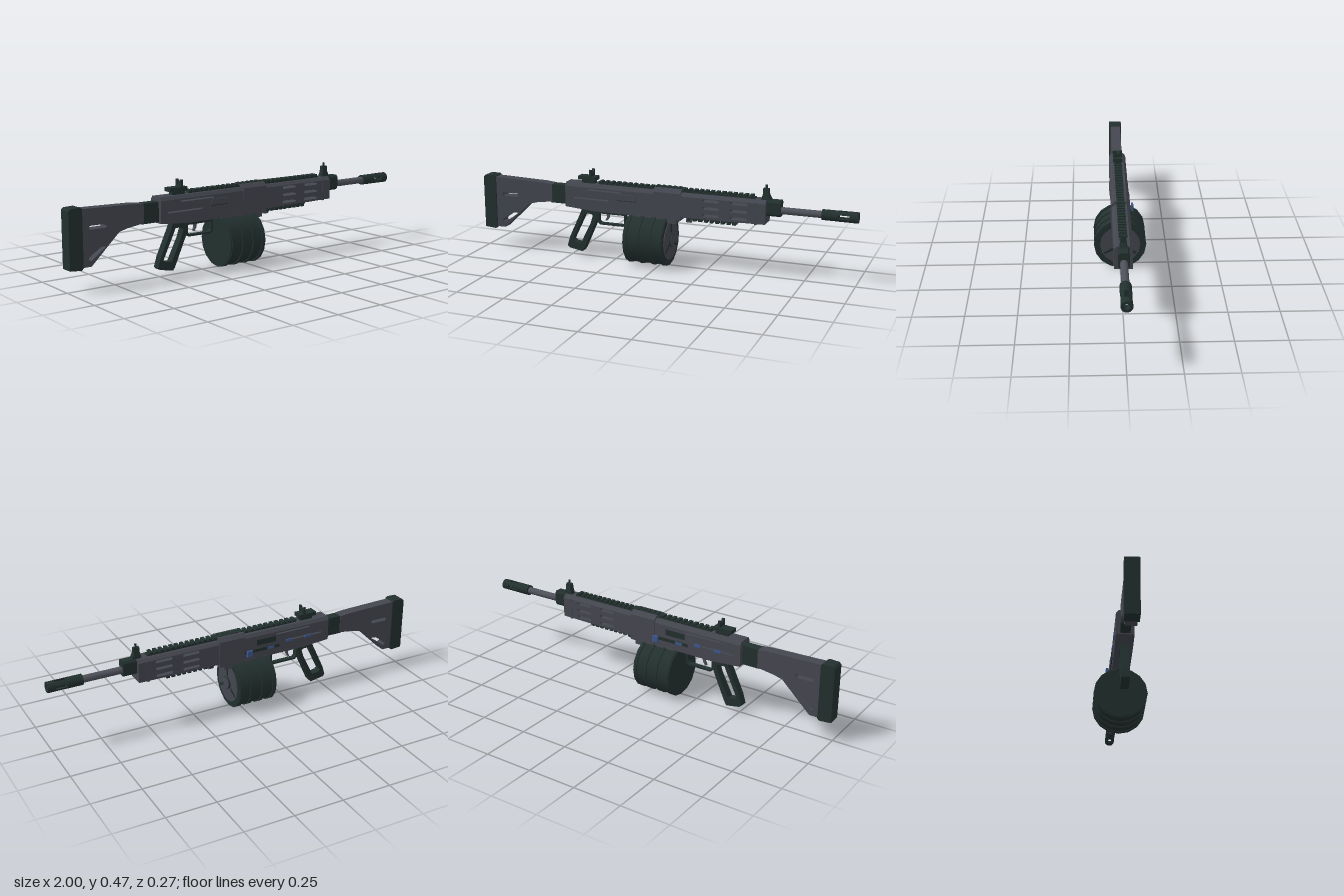
import * as THREE from 'three';

const mat = (name, color) => {
  const m = new THREE.MeshStandardMaterial({ color });
  m.name = name;
  return m;
};

export function createModel() {
  const grey = mat('gunmetal grey', 0x44464f);
  const dark = mat('dark green black', 0x22302e);
  const steel = mat('barrel steel', 0x4f515a);
  const blue = mat('blue controls', 0x3c568c);
  const root = new THREE.Group();
  root.name = 'rifle';

  const add = (name, geo, material, parent = root) => {
    const m = new THREE.Mesh(geo, material);
    m.name = name;
    parent.add(m);
    return m;
  };
  const group = (name) => {
    const g = new THREE.Group();
    g.name = name;
    root.add(g);
    return g;
  };
  // box from x, y, z ranges
  const box = (name, [x0, x1], [y0, y1], [z0, z1], material, parent) => add(name,
    new THREE.BoxGeometry(x1 - x0, y1 - y0, z1 - z0)
      .translate((x0 + x1) / 2, (y0 + y1) / 2, (z0 + z1) / 2), material, parent);
  // cylinder along x
  const rod = (name, x0, x1, y, r, sides, material, parent, open = false) => add(name,
    new THREE.CylinderGeometry(r, r, x1 - x0, sides, 1, open).rotateZ(-Math.PI / 2)
      .translate((x0 + x1) / 2, y, 0), material, parent);
  const toShape = (pts) => new THREE.Shape(pts.map(([x, y]) => new THREE.Vector2(x, y)));
  // side profile extruded to half width h, with through holes
  const slab = (name, pts, holes, h, material, parent) => {
    const s = toShape(pts);
    holes.forEach((p) => s.holes.push(new THREE.Path(p.map(([x, y]) => new THREE.Vector2(x, y)))));
    return add(name, new THREE.ExtrudeGeometry(s, { depth: 2 * h, bevelEnabled: false })
      .translate(0, 0, -h), material, parent);
  };
  // (z, y) cross-section extruded along x
  const prism = (name, pts, x0, x1, material, parent) => add(name,
    new THREE.ExtrudeGeometry(toShape(pts.map(([z, y]) => [-z, y])), { depth: x1 - x0, bevelEnabled: false })
      .rotateY(Math.PI / 2).translate(x0, 0, 0), material, parent);
  const rect = (x0, x1, y0, y1) => [[x0, y0], [x1, y0], [x1, y1], [x0, y1]];
  const slot = (x0, x1, y, h) => {
    const e = h * 0.6;
    return [[x0, y], [x0 + e, y - h], [x1 - e, y - h], [x1, y], [x1 - e, y + h], [x0 + e, y + h]];
  };
  const cap = (w0, y0, w1, y1) => [[-w0, y0], [w0, y0], [w1, y1], [-w1, y1]];

  // Stock with slots, butt pad and connecting neck
  const stock = group('stock');
  slab('stockBody',
    [[-0.94, 0.115], [-0.885, 0.115], [-0.735, 0.258], [-0.69, 0.27], [-0.6, 0.283], [-0.6, 0.375], [-0.65, 0.38], [-0.94, 0.388]],
    [slot(-0.895, -0.8, 0.297, 0.009), [[-0.9, 0.147], [-0.885, 0.142], [-0.81, 0.195], [-0.81, 0.203], [-0.835, 0.2], [-0.895, 0.16]]],
    0.027, grey, stock);
  slab('buttPad', [[-1, 0.11], [-0.94, 0.105], [-0.93, 0.115], [-0.93, 0.39], [-0.94, 0.397], [-0.99, 0.395], [-1, 0.385]],
    [], 0.034, dark, stock);
  box('stockNeck', [-0.61, -0.51], [0.277, 0.375], [-0.024, 0.024], dark, stock);

  // Receiver with thin slits and chamfered top
  const receiver = group('receiver');
  slab('receiverBody', [[-0.515, 0.27], [-0.36, 0.258], [0.095, 0.258], [0.095, 0.38], [-0.515, 0.38]],
    [rect(-0.4, -0.205, 0.365, 0.372), rect(-0.475, -0.275, 0.317, 0.324)], 0.044, grey, receiver);
  prism('receiverTop', cap(0.044, 0.38, 0.032, 0.397), -0.515, -0.025, grey, receiver);
  prism('frontBlock', [[-0.047, 0.255], [0.047, 0.255], [0.047, 0.392], [0.03, 0.411], [-0.03, 0.411], [-0.047, 0.392]],
    -0.025, 0.12, grey, receiver);
  box('magazineWell', [-0.16, 0.095], [0.235, 0.262], [-0.045, 0.045], grey, receiver);
  box('sidePlate', [-0.225, -0.12], [0.33, 0.36], [0.043, 0.05], grey, receiver);
  box('sidePlateEdge', [-0.225, -0.12], [0.326, 0.33], [0.043, 0.048], dark, receiver);
  box('chargingSlot', [-0.22, -0.02], [0.296, 0.312], [-0.0485, -0.042], dark, receiver);
  box('ejectionPort', [-0.2, -0.09], [0.33, 0.36], [-0.047, -0.042], dark, receiver);

  // Blue controls on the back side
  const controls = group('controls');
  box('handleShaft', [-0.047, -0.033], [0.294, 0.31], [-0.06, -0.042], steel, controls);
  box('handleKnob', [-0.055, -0.025], [0.287, 0.319], [-0.069, -0.057], blue, controls);
  box('boltCatch', [-0.19, -0.15], [0.298, 0.31], [-0.052, -0.044], blue, controls);
  box('magazineRelease', [-0.295, -0.26], [0.312, 0.326], [-0.05, -0.043], blue, controls);
  box('selectorLever', [-0.41, -0.37], [0.312, 0.325], [-0.05, -0.043], blue, controls);

  // Handguard with two columns of three vents
  const guard = group('handguard');
  const vents = [];
  for (const y of [0.369, 0.331, 0.294])
    for (const x of [0.23, 0.375]) vents.push(slot(x, x + 0.09, y, 0.007));
  slab('handguardBody', [[0.12, 0.272], [0.555, 0.278], [0.555, 0.38], [0.12, 0.38]], vents, 0.044, grey, guard);
  prism('handguardTop', cap(0.044, 0.38, 0.03, 0.395), 0.12, 0.555, grey, guard);
  box('handguardBand', [0.5, 0.512], [0.274, 0.383], [-0.046, 0.046], grey, guard);
  rod('slingStud', 0.137, 0.163, 0.25, 0.013, 8, steel, guard);

  // Toothed rails
  const rail = (name, x0, x1, base, tip, w) => {
    const g = group(name);
    const mid = (base + tip) / 2;
    box('railBase', [x0, x1], [Math.min(base, mid), Math.max(base, mid)], [-w * 0.8, w * 0.8], dark, g);
    const n = Math.round((x1 - x0) / 0.03);
    const step = (x1 - x0) / n;
    for (let i = 0; i < n; i++) {
      const x = x0 + step * i;
      box('railTooth', [x, x + step * 0.6], [Math.min(mid, tip), Math.max(mid, tip)], [-w, w], dark, g);
    }
  };
  rail('rearTopRail', -0.335, -0.025, 0.394, 0.413, 0.02);
  rail('blockTopRail', -0.025, 0.12, 0.408, 0.416, 0.02);
  rail('frontTopRail', 0.12, 0.495, 0.392, 0.413, 0.02);
  rail('lowerRail', 0.145, 0.41, 0.275, 0.25, 0.016);

  // Barrel, gas block and slotted muzzle
  const barrel = group('barrel');
  prism('gasBlock', [[-0.026, 0.328], [-0.016, 0.317], [0.016, 0.317], [0.026, 0.328], [0.026, 0.386], [0.018, 0.396], [-0.018, 0.396], [-0.026, 0.386]],
    0.55, 0.625, dark, barrel);
  rod('barrelTube', 0.6, 0.84, 0.346, 0.018, 12, steel, barrel);
  rod('muzzleRear', 0.825, 0.905, 0.346, 0.027, 12, dark, barrel);
  const ring = new THREE.Shape().absarc(0, 0, 0.027, 0, Math.PI * 2);
  ring.holes.push(new THREE.Path().absarc(0, 0, 0.014, 0, Math.PI * 2, true));
  add('muzzleFront', new THREE.ExtrudeGeometry(ring, { depth: 0.04, bevelEnabled: false, curveSegments: 12 })
    .rotateY(Math.PI / 2).translate(0.96, 0.346, 0), dark, barrel);
  for (const sy of [-1, 1]) for (const sz of [-1, 1]) {
    prism('muzzleBar', sy * sz > 0
      ? [[sz * 0.01, 0.346 + sy * 0.01], [sz * 0.025, 0.346 + sy * 0.01], [sz * 0.019, 0.346 + sy * 0.019], [sz * 0.01, 0.346 + sy * 0.025]]
      : [[sz * 0.01, 0.346 + sy * 0.025], [sz * 0.019, 0.346 + sy * 0.019], [sz * 0.025, 0.346 + sy * 0.01], [sz * 0.01, 0.346 + sy * 0.01]],
    0.9, 0.965, dark, barrel);
  }

  // Sights
  const sights = group('sights');
  prism('frontSightBase', cap(0.019, 0.385, 0.009, 0.45), 0.532, 0.562, dark, sights);
  slab('frontSightFoot', [[0.52, 0.385], [0.58, 0.385], [0.562, 0.42], [0.532, 0.42]], [], 0.014, dark, sights);
  box('frontSightPost', [0.542, 0.552], [0.45, 0.468], [-0.003, 0.003], dark, sights);
  box('rearSightBase', [-0.45, -0.35], [0.414, 0.433], [-0.025, 0.025], dark, sights);
  box('rearSightFoot', [-0.43, -0.36], [0.39, 0.416], [-0.017, 0.017], dark, sights);
  prism('rearSightNotch', [[-0.023, 0.43], [0.023, 0.43], [0.023, 0.468], [0.014, 0.468], [0.006, 0.452], [-0.006, 0.452], [-0.014, 0.468], [-0.023, 0.468]],
    -0.387, -0.375, dark, sights);

  // Skeleton grip, trigger and guard
  const grip = group('grip');
  slab('gripFrame', [[-0.52, 0.05], [-0.508, 0.04], [-0.435, 0.027], [-0.425, 0.04], [-0.36, 0.185], [-0.345, 0.225], [-0.345, 0.262], [-0.432, 0.262], [-0.442, 0.235], [-0.505, 0.1]],
    [[[-0.49, 0.085], [-0.48, 0.076], [-0.443, 0.07], [-0.385, 0.185], [-0.372, 0.225], [-0.38, 0.235], [-0.418, 0.235], [-0.427, 0.215]]],
    0.02, dark, grip);
  slab('triggerGuard', [[-0.35, 0.262], [-0.35, 0.195], [-0.335, 0.181], [-0.205, 0.181], [-0.19, 0.195], [-0.19, 0.262]],
    [[[-0.341, 0.24], [-0.341, 0.2], [-0.331, 0.19], [-0.209, 0.19], [-0.199, 0.2], [-0.199, 0.24]]], 0.013, dark, grip);
  slab('trigger', [[-0.305, 0.25], [-0.28, 0.25], [-0.287, 0.22], [-0.298, 0.203], [-0.306, 0.205], [-0.297, 0.225]], [], 0.006, steel, grip);

  // Ribbed drum magazine with hub and three spokes
  const drum = group('drumMagazine');
  const cy = 0.135;
  rod('drumShell', -0.162, 0.05, cy, 0.127, 16, dark, drum);
  for (const x of [-0.148, -0.084, -0.02, 0.038]) rod('drumRib', x - 0.009, x + 0.009, cy, 0.133, 16, dark, drum);
  rod('drumFace', 0.045, 0.054, cy, 0.102, 16, grey, drum);
  rod('hubRim', 0.05, 0.062, cy, 0.033, 16, dark, drum);
  rod('hub', 0.05, 0.064, cy, 0.03, 16, grey, drum);
  for (let i = 0; i < 3; i++) {
    const spoke = add('spoke', new THREE.BoxGeometry(0.006, 0.052, 0.013).translate(0, 0.067, 0), dark, drum);
    spoke.position.set(0.053, cy, 0);
    spoke.rotation.x = i * Math.PI * 2 / 3;
  }
  return root;
}
